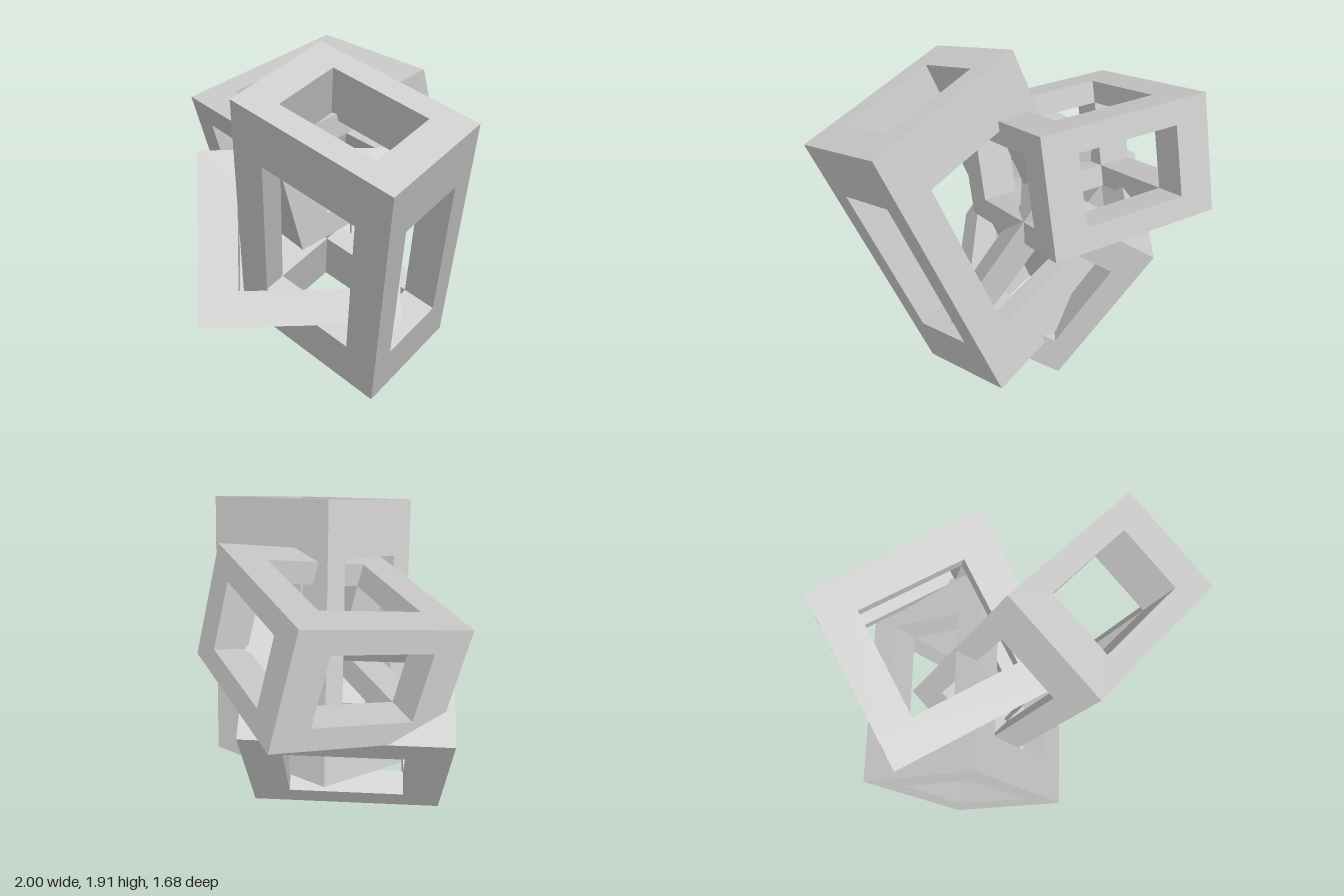
import * as THREE from 'three';
import { mergeGeometries } from 'three/addons/utils/BufferGeometryUtils.js';

const BORDER = 0.2; // beam thickness as a fraction of each side

// Unit cube frame: two square rings joined by four corner posts
function frameGeometry() {
  const inner = 0.5 - BORDER;
  const square = (h) => [[-h, -h], [h, -h], [h, h], [-h, h]].map(([x, y]) => new THREE.Vector2(x, y));
  const shape = new THREE.Shape(square(0.5));
  shape.holes.push(new THREE.Path(square(inner).reverse()));

  const parts = [];
  for (const z of [-0.5, inner]) {
    parts.push(new THREE.ExtrudeGeometry(shape, { depth: BORDER, bevelEnabled: false }).translate(0, 0, z));
  }
  const c = 0.5 - BORDER / 2;
  for (const x of [-c, c]) {
    for (const y of [-c, c]) {
      parts.push(new THREE.BoxGeometry(BORDER, BORDER, 2 * inner).toNonIndexed().translate(x, y, 0));
    }
  }
  return mergeGeometries(parts);
}

// Each frame: centre and its three edge vectors
const FRAMES = [
  { name: 'tallFrame', centre: [0.31, 0.955, 0.18],
    edges: [[0.96, -0.25, -0.065], [0, -0.17, 0.64], [-0.42, -1.49, -0.395]] },
  { name: 'lowerFrame', centre: [-0.2, 0.645, 0.04],
    edges: [[0.8, 0, -0.8], [-0.35, 0.86, -0.36], [0.45, 0.36, 0.44]] },
  { name: 'upperBackFrame', centre: [-0.245, 1.2625, -0.1675],
    edges: [[0.965, 0, 0.26], [0.045, -0.64, -0.165], [-0.24, -0.255, 0.93]] },
];

export function createModel() {
  const group = new THREE.Group();
  group.name = 'interlockedFrames';
  const geometry = frameGeometry();
  const material = new THREE.MeshStandardMaterial({ color: 0xcccccc, flatShading: true });

  for (const { name, centre, edges } of FRAMES) {
    const [u, v, w] = edges.map((e) => new THREE.Vector3(...e));
    const mesh = new THREE.Mesh(geometry, material);
    mesh.name = name;
    mesh.position.set(...centre);
    mesh.scale.set(u.length(), v.length(), w.length());
    // right-handed orthonormal basis along the edges
    const x = u.clone().normalize();
    const z = x.clone().cross(v).normalize();
    const y = z.clone().cross(x);
    mesh.quaternion.setFromRotationMatrix(new THREE.Matrix4().makeBasis(x, y, z));
    group.add(mesh);
  }
  return group;
}
